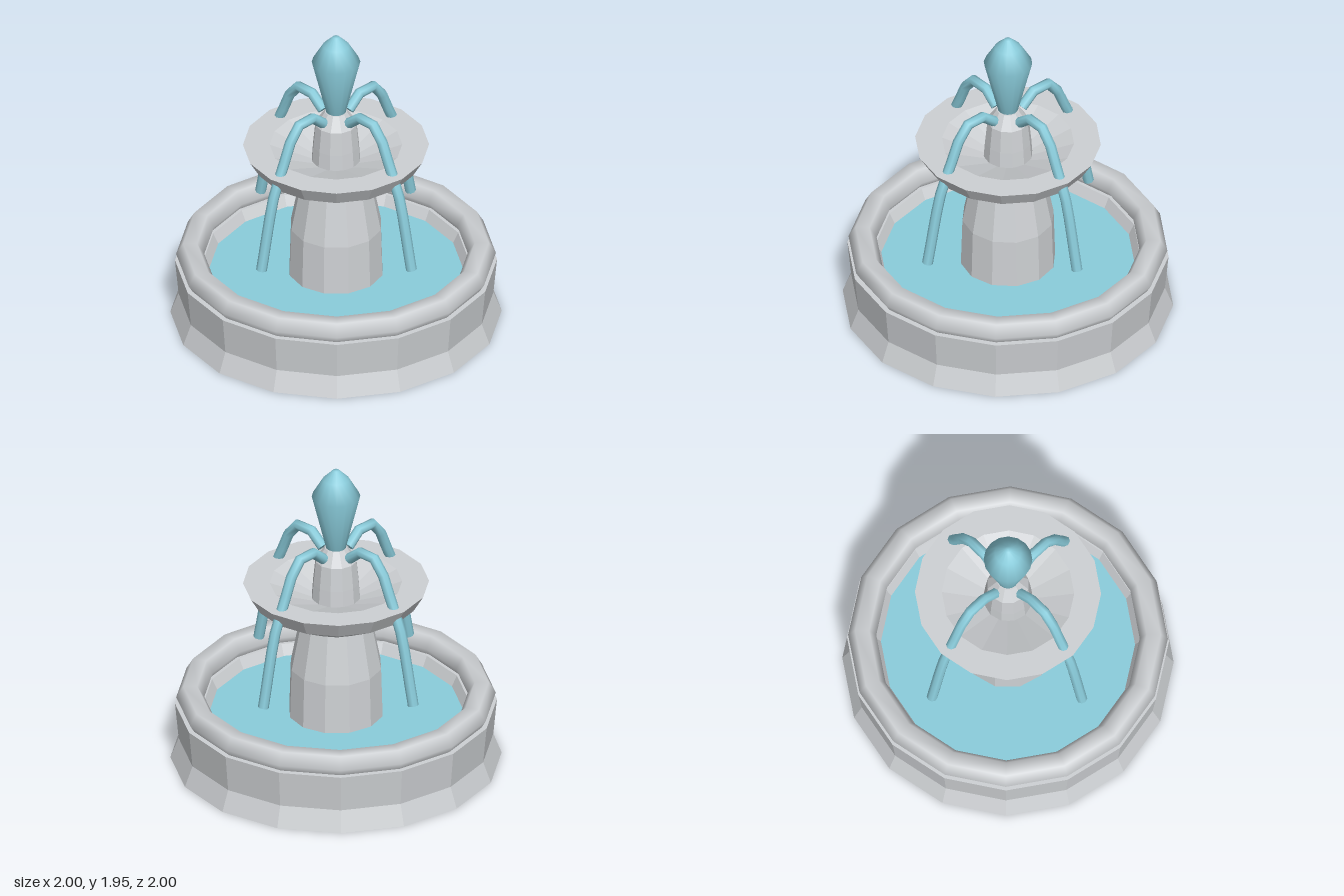
import * as THREE from 'three';

const stone = new THREE.MeshStandardMaterial({ color: 0xcdd0d3 });
stone.name = 'paleStone';
const water = new THREE.MeshStandardMaterial({ color: 0x8accdb });
water.name = 'waterBlue';

function add(parent, name, geometry, material) {
  const mesh = new THREE.Mesh(geometry, material);
  mesh.name = name;
  parent.add(mesh);
  return mesh;
}

// Turned profile of [radius, height] pairs, bottom to top
function lathe(profile, sides, faceted = true) {
  const geo = new THREE.LatheGeometry(profile.map(([r, y]) => new THREE.Vector2(r, y)), sides);
  if (!faceted) return geo;
  const flat = geo.toNonIndexed();
  flat.computeVertexNormals();
  return flat;
}

// One arched jet of water reaching out along +x
function createJet() {
  const jet = new THREE.Group();
  const path = new THREE.CatmullRomCurve3([
    [0.11, 1.385], [0.2, 1.46], [0.3, 1.468], [0.375, 1.4], [0.465, 1.2], [0.53, 1.06], [0.64, 0.575],
  ].map(([x, y]) => new THREE.Vector3(x, y, 0)));
  const radius = 0.033;
  add(jet, 'jetStream', new THREE.TubeGeometry(path, 10, radius, 8), water);
  for (const t of [0, 1]) {
    const cap = add(jet, 'jetEnd', new THREE.CircleGeometry(radius, 8), water);
    const outward = path.getTangentAt(t).multiplyScalar(t ? 1 : -1);
    cap.position.copy(path.getPointAt(t));
    cap.quaternion.setFromUnitVectors(new THREE.Vector3(0, 0, 1), outward);
  }
  return jet;
}

export function createModel() {
  const fountain = new THREE.Group();
  fountain.name = 'fountain';

  // Lower basin with its rounded rim and pool
  add(fountain, 'basin', lathe([
    [0, 0], [1, 0], [0.95, 0.13], [0.972, 0.365], [0.8, 0.365], [0.757, 0.28],
  ], 16), stone);
  const rim = add(fountain, 'basinRim', new THREE.TorusGeometry(0.88, 0.085, 6, 16), stone);
  rim.rotation.x = -Math.PI / 2;
  rim.position.y = 0.41;
  const pool = add(fountain, 'poolWater', new THREE.CircleGeometry(0.768, 16), water);
  pool.rotation.x = -Math.PI / 2;
  pool.position.y = 0.3;

  // Main column, upper bowl and neck
  add(fountain, 'column', lathe([[0.29, 0.28], [0.28, 0.62], [0.22, 0.93]], 12), stone);
  add(fountain, 'upperBowl', lathe([
    [0, 0.925], [0.225, 0.925], [0.5, 1.08], [0.562, 1.185], [0.4, 1.185], [0.14, 1.085], [0, 1.085],
  ], 16), stone);
  add(fountain, 'neck', lathe([
    [0.15, 1.08], [0.142, 1.19], [0.127, 1.34], [0.07, 1.425], [0, 1.425],
  ], 12), stone);

  // Central plume
  add(fountain, 'plume', lathe([
    [0, 1.39], [0.055, 1.4], [0.147, 1.775], [0.08, 1.89], [0.02, 1.95], [0, 1.95],
  ], 16, false), water);

  // Four jets around the plume
  for (let i = 0; i < 4; i++) {
    const jet = createJet();
    jet.name = 'waterJet';
    jet.rotation.y = i * Math.PI / 2;
    fountain.add(jet);
  }
  return fountain;
}
